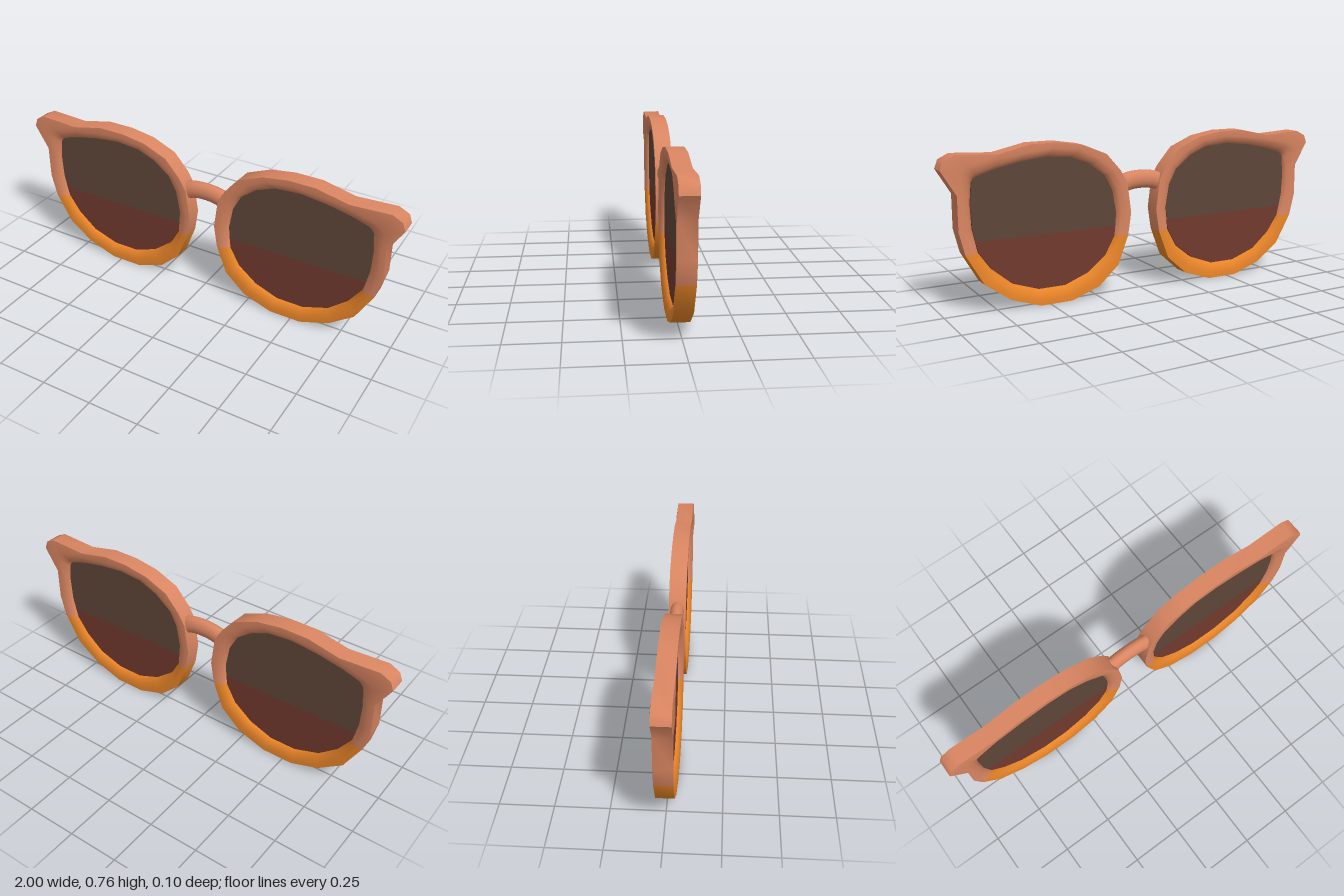
import * as THREE from 'three';
import { toCreasedNormals } from 'three/addons/utils/BufferGeometryUtils.js';

const material = (name, color) => {
  const m = new THREE.MeshStandardMaterial({ color });
  m.name = name;
  return m;
};

// Paired outline points [outerX, outerY, innerX, innerY], anticlockwise.
// The first SPLIT spans form the lower, orange part of the rim.
const SPLIT = 7;
const OUTLINE = [
  [0.087, 0.285, 0.15, 0.285], [0.14, 0.145, 0.2, 0.195], [0.245, 0.05, 0.295, 0.12],
  [0.39, 0, 0.415, 0.075], [0.55, 0, 0.55, 0.075], [0.695, 0.05, 0.68, 0.12],
  [0.82, 0.14, 0.775, 0.2], [0.903, 0.285, 0.835, 0.285], [0.93, 0.395, 0.86, 0.4],
  [0.93, 0.555, 0.865, 0.51], [1, 0.67, 0.855, 0.605], [0.985, 0.71, 0.845, 0.62],
  [0.935, 0.735, 0.83, 0.63], [0.74, 0.725, 0.75, 0.655], [0.58, 0.76, 0.63, 0.68],
  [0.445, 0.76, 0.5, 0.695], [0.32, 0.74, 0.375, 0.685], [0.2, 0.69, 0.285, 0.65],
  [0.125, 0.605, 0.2, 0.585], [0.09, 0.545, 0.16, 0.51], [0.07, 0.395, 0.14, 0.4],
];

// Rim cross-section: distance out from the lens opening, and z (null = outer edge)
const FRONT = [[null, 0.042], [0.05, 0.042], [0.02, 0.035], [0.004, 0.021]];
const PROFILE = [...FRONT, [0, 0], ...FRONT.slice().reverse().map(([d, z]) => [d, -z])];

function rimGeometry() {
  const n = OUTLINE.length, m = PROFILE.length;
  const positions = [], index = [];
  OUTLINE.forEach(([ox, oy, ix, iy], i) => {
    const length = Math.hypot(ox - ix, oy - iy);
    const wing = i >= 10 && i <= 12; // upswept corner is a little thicker
    for (const [d, z] of PROFILE) {
      const t = d === null ? 1 : Math.min(d * (wing ? 1.3 : 1) / length, 0.8);
      const bulge = wing && d === 0.05 ? Math.sign(z) * 0.008 : 0;
      positions.push(ix + (ox - ix) * t, iy + (oy - iy) * t, z + bulge);
    }
  });
  for (let i = 0; i < n; i++) {
    for (let r = 0; r < m; r++) {
      const i2 = (i + 1) % n, r2 = (r + 1) % m;
      const a = i * m + r, b = i2 * m + r, c = i2 * m + r2, d = i * m + r2;
      index.push(a, b, c, a, c, d);
    }
  }
  const g = new THREE.BufferGeometry();
  g.setAttribute('position', new THREE.Float32BufferAttribute(positions, 3));
  g.setIndex(index);
  g.addGroup(0, SPLIT * m * 6, 0);
  g.addGroup(SPLIT * m * 6, (n - SPLIT) * m * 6, 1);
  return toCreasedNormals(g, 0.8);
}

// Flat lens plate whose edge sits inside the rim
function lensGeometry(points) {
  const shape = new THREE.Shape(points.map(([x, y]) => new THREE.Vector2(x, y)));
  const g = new THREE.ExtrudeGeometry(shape, { depth: 0.036, bevelEnabled: false });
  g.translate(0, 0, -0.018);
  return g;
}

export function createModel() {
  const terracotta = material('terracotta frame', 0xd98561);
  const orange = material('orange lower frame', 0xe88428);
  const brown = material('brown lens', 0x5e4538);
  const red = material('red brown lens', 0x70392e);

  const model = new THREE.Group();
  model.name = 'sunglasses';

  const inner = OUTLINE.map(([, , x, y]) => [x, y]);
  const cut = [[0.847, 0.335], [0.145, 0.335]];
  const rim = rimGeometry();
  const lowerLens = lensGeometry([...inner.slice(0, SPLIT + 1), ...cut]);
  const upperLens = lensGeometry([cut[1], cut[0], ...inner.slice(SPLIT + 1)]);

  // Front and back match, so a half turn gives the other side
  for (const side of ['left', 'right']) {
    const half = new THREE.Group();
    half.name = side + 'Eyepiece';
    const add = (name, geometry, mat) => {
      const mesh = new THREE.Mesh(geometry, mat);
      mesh.name = name;
      half.add(mesh);
    };
    add('rim', rim, [orange, terracotta]);
    add('lowerLens', lowerLens, red);
    add('upperLens', upperLens, brown);
    if (side === 'right') half.rotation.y = Math.PI;
    model.add(half);
  }

  // Arched bridge, slightly flattened front to back
  const arch = new THREE.CatmullRomCurve3([
    new THREE.Vector3(-0.115, 0.527, 0), new THREE.Vector3(-0.06, 0.544, 0),
    new THREE.Vector3(0, 0.549, 0),
    new THREE.Vector3(0.06, 0.544, 0), new THREE.Vector3(0.115, 0.527, 0),
  ]);
  const bridge = new THREE.Mesh(new THREE.TubeGeometry(arch, 12, 0.045, 14), terracotta);
  bridge.name = 'bridge';
  bridge.scale.z = 0.74;
  model.add(bridge);

  return model;
}
